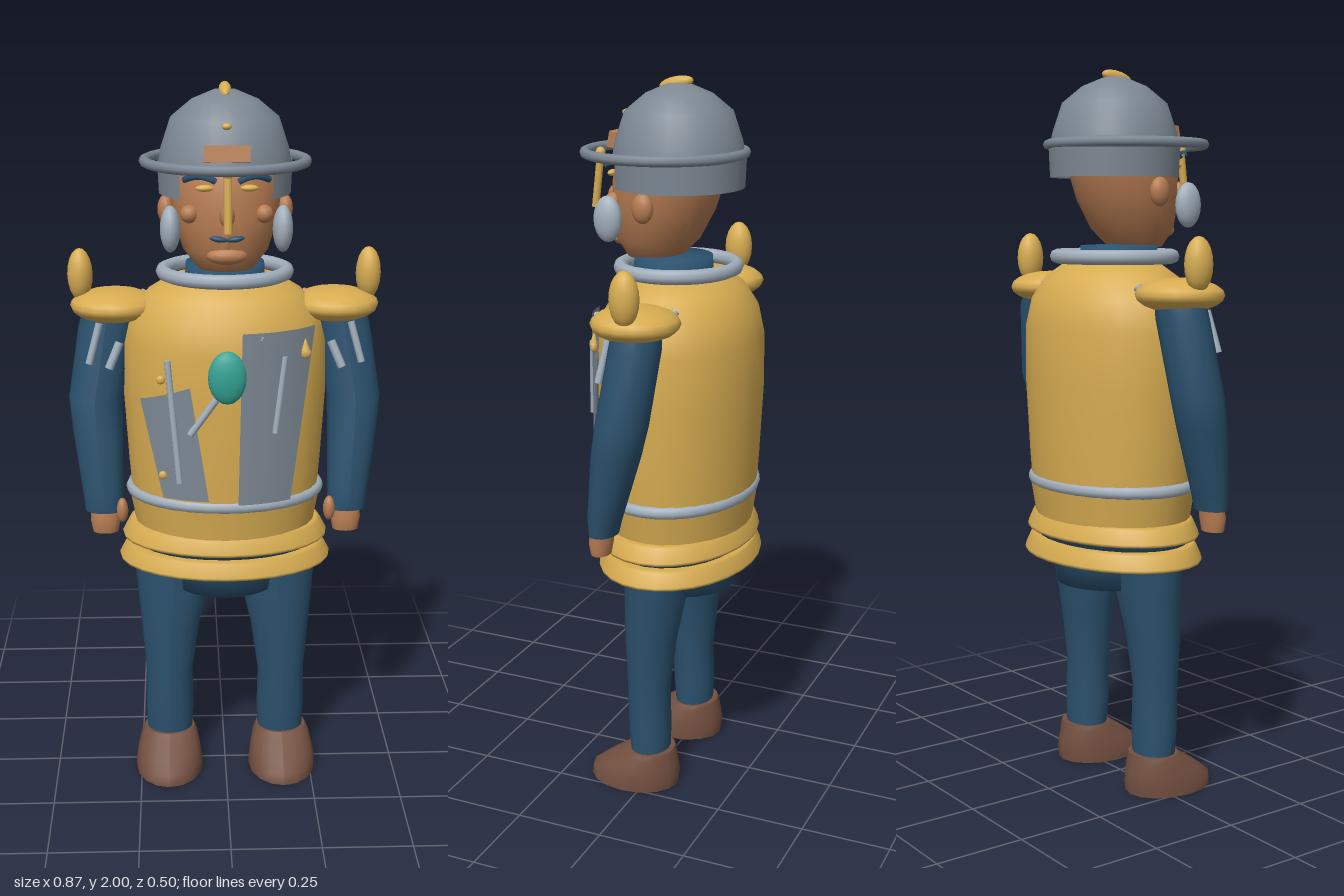
import * as THREE from 'three';

const mat = (name, color, side = THREE.FrontSide) => {
  const m = new THREE.MeshStandardMaterial({ color, side });
  m.name = name;
  return m;
};

export function createModel() {
  const root = new THREE.Group();
  root.name = 'armouredGuard';
  const gold = mat('gold', 0xd8ad52);
  const navy = mat('navy cloth', 0x2b516e);
  const skin = mat('skin', 0xb67c52);
  const steel = mat('steel', 0x7d8893, THREE.DoubleSide);
  const silver = mat('silver', 0xa2afbc);
  const brown = mat('boot leather', 0x735040);
  const teal = mat('teal gem', 0x34a394);

  const add = (name, geo, material, pos = [0, 0, 0], scale = [1, 1, 1], rot = [0, 0, 0]) => {
    const m = new THREE.Mesh(geo, material);
    m.name = name;
    m.position.set(...pos);
    m.scale.set(...scale);
    m.rotation.set(...rot);
    root.add(m);
    return m;
  };
  const ball = (name, material, pos, radii, rot) =>
    add(name, new THREE.SphereGeometry(1, 16, 10), material, pos, radii, rot);
  const box = (name, material, pos, size, rot) =>
    add(name, new THREE.BoxGeometry(...size), material, pos, [1, 1, 1], rot);
  // Profile of [radius, y] from bottom to top, turned and flattened in z
  const lathe = (name, material, profile, z, depth, start = 0, arc = Math.PI * 2) =>
    add(name, new THREE.LatheGeometry(profile.map(p => new THREE.Vector2(...p)), 28, start, arc),
      material, [0, 0, z], [1, 1, depth]);
  const ring = (name, material, y, z, rx, rz, tube) => {
    const g = new THREE.TorusGeometry(rx, tube, 8, 32).rotateX(Math.PI / 2);
    return add(name, g, material, [0, y, z], [1, 1, rz / rx]);
  };
  // Round bar between two points
  const rod = (name, material, a, b, r) => {
    const curve = new THREE.LineCurve3(new THREE.Vector3(...a), new THREE.Vector3(...b));
    const v = curve.v2.clone().sub(curve.v1);
    const m = add(name, new THREE.CylinderGeometry(r, r, v.length(), 8), material);
    m.position.copy(curve.getPoint(0.5));
    m.quaternion.setFromUnitVectors(new THREE.Vector3(0, 1, 0), v.normalize());
    return m;
  };
  // Loft through sections [x, y, z, rx, rz], top to bottom
  const limb = (name, material, sections) => {
    const n = sections.length - 1;
    const g = new THREE.CylinderGeometry(1, 1, 1, 16, n);
    const p = g.attributes.position;
    for (let i = 0; i < p.count; i++) {
      const [x, y, z, rx, rz] = sections[Math.round((0.5 - p.getY(i)) * n)];
      p.setXYZ(i, x + p.getX(i) * rx, y, z + p.getZ(i) * rz);
    }
    g.computeVertexNormals();
    return add(name, g, material);
  };

  // Cuirass, waist band and skirt hoops
  lathe('cuirass', gold, [[0.265, 0.86], [0.272, 0.95], [0.284, 1.15], [0.283, 1.3],
    [0.262, 1.38], [0.215, 1.44], [0.15, 1.48], [0, 1.485]], -0.03, 0.775);
  lathe('waistBand', gold, [[0.255, 0.76], [0.262, 0.8], [0.275, 0.87]], -0.03, 0.76);
  for (const [y, r] of [[0.725, 0.295], [0.657, 0.305]])
    lathe('skirtHoop', gold, [[0, y], [r - 0.002, y], [r, y + 0.008], [r - 0.02, y + 0.045],
      [r - 0.03, y + 0.05], [0, y + 0.052]], -0.03, 0.715);
  ring('belt', silver, 0.87, -0.03, 0.265, 0.2, 0.018);
  ring('collar', silver, 1.495, -0.02, 0.17, 0.157, 0.02);
  lathe('neck', navy, [[0.11, 1.47], [0.107, 1.525], [0, 1.53]], -0.005, 1);
  lathe('underTunic', navy, [[0, 0.7], [0.258, 0.7], [0.258, 0.74]], -0.03, 0.71);
  lathe('hips', navy, [[0, 0.58], [0.155, 0.58], [0.165, 0.66], [0.17, 0.7]], -0.03, 1);

  // Breast plates bent round the cuirass; corners are top left, top right, bottom left, bottom right
  const plate = (name, tl, tr, bl, br) => {
    const g = new THREE.PlaneGeometry(1, 1, 8, 4);
    const p = g.attributes.position;
    const mix = THREE.MathUtils.lerp;
    for (let i = 0; i < p.count; i++) {
      const u = p.getX(i) + 0.5, v = p.getY(i) + 0.5;
      const x = mix(mix(bl[0], br[0], u), mix(tl[0], tr[0], u), v);
      const y = mix(mix(bl[1], br[1], u), mix(tl[1], tr[1], u), v);
      p.setXYZ(i, x, y, -0.03 + 0.236 * Math.sqrt(1 - (x / 0.292) ** 2));
    }
    g.computeVertexNormals();
    add(name, g, steel);
  };
  plate('leftBreastPlate', [0.04, 1.37], [0.24, 1.37], [0.03, 0.89], [0.175, 0.89]);
  plate('rightBreastPlate', [-0.235, 1.17], [-0.1, 1.22], [-0.175, 0.9], [-0.05, 0.9]);
  rod('leftPlateRib', silver, [0.155, 1.3, 0.168], [0.13, 1.09, 0.182], 0.009);
  rod('rightPlateRib', silver, [-0.16, 1.29, 0.168], [-0.13, 0.95, 0.185], 0.009);
  rod('chestRod', silver, [-0.1, 1.09, 0.193], [0.095, 1.36, 0.185], 0.01);
  ball('chestGem', teal, [0, 1.25, 0.2], [0.052, 0.073, 0.026]);
  for (const [x, y, r] of [[0.212, 1.3, 0.016], [-0.178, 1.235, 0.012], [-0.175, 0.965, 0.012]]) {
    const z = -0.03 + 0.238 * Math.sqrt(1 - (x / 0.292) ** 2);
    ball('plateStud', gold, [x, y, z], [r, r, r * 0.6]);
  }
  add('studPoint', new THREE.ConeGeometry(0.014, 0.035, 8), gold, [0.212, 1.325, 0.135]);

  // Head, leaning forward at the chin
  const head = lathe('head', skin, [[0, 1.505], [0.075, 1.52], [0.115, 1.57], [0.142, 1.65],
    [0.152, 1.73], [0.147, 1.8], [0.12, 1.87], [0, 1.91]], 0, 1);
  const hp = head.geometry.attributes.position;
  for (let i = 0; i < hp.count; i++) hp.setZ(i, hp.getZ(i) + 0.01 + (1.72 - hp.getY(i)) * 0.2);
  head.geometry.computeVertexNormals();
  ball('chin', skin, [0, 1.567, 0.14], [0.055, 0.024, 0.028]);
  ball('nose', skin, [0, 1.675, 0.168], [0.02, 0.03, 0.022]);
  box('foreheadPatch', skin, [0, 1.832, 0.15], [0.12, 0.042, 0.022], [-0.2, 0, 0]);
  for (const s of [-1, 1]) {
    ball('ear', skin, [s * 0.16, 1.67, 0.015], [0.022, 0.04, 0.03]);
    ball('cheek', skin, [s * 0.098, 1.675, 0.128], [0.024, 0.024, 0.024]);
    ball('earGuard', silver, [s * 0.148, 1.635, 0.122], [0.027, 0.062, 0.04]);
    ball('eye', gold, [s * 0.058, 1.745, 0.148], [0.024, 0.009, 0.012]);
    const brow = new THREE.QuadraticBezierCurve3(
      new THREE.Vector3(s * 0.03, 1.765, 0.172), new THREE.Vector3(s * 0.07, 1.79, 0.178),
      new THREE.Vector3(s * 0.11, 1.765, 0.135));
    add('eyebrow', new THREE.TubeGeometry(brow, 8, 0.009, 6), navy);
    ball('moustache', navy, [s * 0.022, 1.615, 0.165], [0.024, 0.008, 0.01], [0, 0, s * 0.15]);
  }

  // Helmet with neck guard open at the face
  lathe('helmetDome', steel, [[0.178, 1.79], [0.172, 1.83], [0.145, 1.91], [0.09, 1.955],
    [0.03, 1.98], [0, 1.983]], -0.02, 1);
  lathe('neckGuard', steel, [[0.178, 1.71], [0.182, 1.8]], -0.02, 1, 0.75, Math.PI * 2 - 1.5);
  ring('helmetBrim', steel, 1.8, 0.02, 0.216, 0.216, 0.014);
  ball('helmetCrest', gold, [0, 1.98, -0.012], [0.017, 0.018, 0.05], [0.2, 0, 0]);
  ball('helmetStud', gold, [0, 1.9, 0.133], [0.013, 0.009, 0.012]);
  rod('noseGuard', gold, [0, 1.79, 0.212], [0, 1.64, 0.23], 0.011);
  ball('noseGuardCap', gold, [0, 1.79, 0.213], [0.014, 0.014, 0.014]);

  for (const s of [-1, 1]) {
    // Shoulder armour
    ball('pauldron', gold, [s * 0.305, 1.4, -0.03], [0.122, 0.046, 0.118]);
    ball('pauldronKnob', gold, [s * 0.398, 1.482, -0.042], [0.035, 0.073, 0.04]);
    rod('shoulderStrap', silver, [s * 0.29, 1.31, 0.045], [s * 0.32, 1.24, 0.06], 0.012);
    rod('shoulderStrap', silver, [s * 0.345, 1.36, 0.03], [s * 0.375, 1.25, 0.045], 0.01);
    rod('backStrap', silver, [s * 0.245, 1.39, -0.09], [s * 0.22, 1.42, -0.105], 0.012);

    // Arms and hands
    limb('arm', navy, [
      [s * 0.315, 1.41, -0.04, 0.07, 0.06], [s * 0.33, 1.34, -0.04, 0.076, 0.068],
      [s * 0.362, 1.14, -0.015, 0.075, 0.07], [s * 0.358, 1.05, 0.005, 0.07, 0.066],
      [s * 0.345, 0.87, 0.045, 0.056, 0.046], [s * 0.342, 0.825, 0.05, 0.054, 0.038]]);
    limb('hand', skin, [[s * 0.34, 0.84, 0.055, 0.04, 0.028],
      [s * 0.34, 0.8, 0.06, 0.042, 0.032], [s * 0.34, 0.765, 0.06, 0.036, 0.026]]);
    ball('thumb', skin, [s * 0.292, 0.83, 0.07], [0.017, 0.036, 0.02]);

    // Legs and boots
    limb('leg', navy, [
      [s * 0.15, 0.7, -0.02, 0.115, 0.09], [s * 0.15, 0.58, -0.015, 0.107, 0.085],
      [s * 0.16, 0.45, -0.005, 0.085, 0.072], [s * 0.165, 0.3, 0, 0.068, 0.06],
      [s * 0.165, 0.18, -0.003, 0.07, 0.06], [s * 0.165, 0.09, -0.005, 0.066, 0.055]]);
    limb('boot', brown, [
      [s * 0.167, 0.11, -0.008, 0.075, 0.068], [s * 0.167, 0.095, 0, 0.083, 0.08],
      [s * 0.168, 0.06, 0.022, 0.092, 0.11], [s * 0.168, 0.03, 0.04, 0.098, 0.132],
      [s * 0.168, 0, 0.044, 0.098, 0.132]]);
  }
  return root;
}
